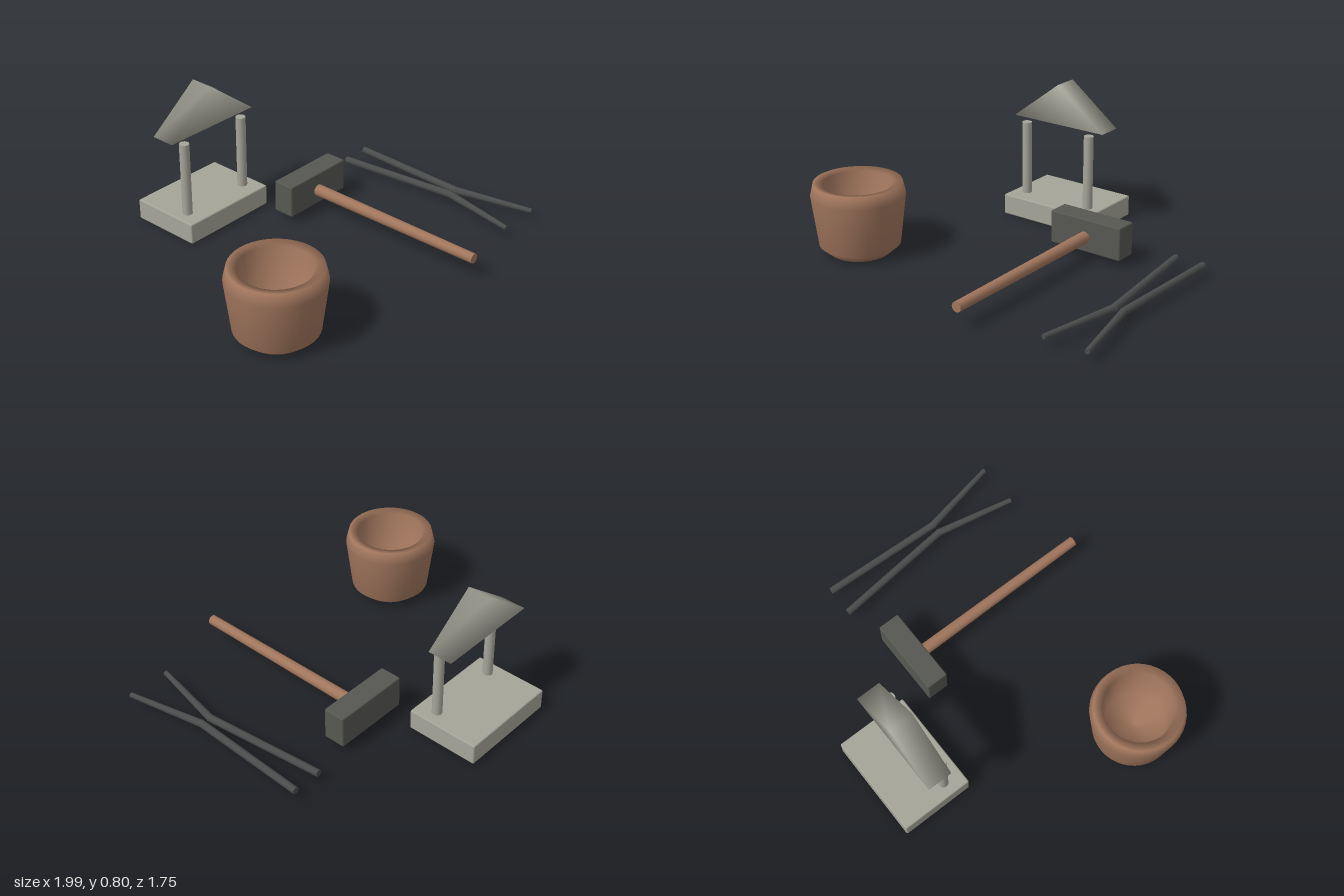
import * as THREE from 'three';
import { RoundedBoxGeometry } from 'three/addons/geometries/RoundedBoxGeometry.js';

const material = (name, color, side = THREE.FrontSide) => {
  const m = new THREE.MeshStandardMaterial({ color, side });
  m.name = name;
  return m;
};

export function createModel() {
  const model = new THREE.Group();
  const wood = material('wood', 0xa0755c);
  const stone = material('stone', 0xa5a599);
  const iron = material('iron', 0x565852);
  const darkIron = material('dark iron', 0x494c4b);

  const add = (name, geometry, mat, x = 0, y = 0, z = 0) => {
    const mesh = new THREE.Mesh(geometry, mat);
    mesh.name = name;
    mesh.position.set(x, y, z);
    model.add(mesh);
    return mesh;
  };

  // Tapered round bar between two points
  const bar = (name, a, b, ra, rb, mat, sides = 16) => {
    const start = new THREE.Vector3(...a), end = new THREE.Vector3(...b);
    const dir = end.clone().sub(start);
    const mesh = add(name, new THREE.CylinderGeometry(rb, ra, dir.length(), sides), mat);
    mesh.position.copy(start).add(end).multiplyScalar(0.5);
    mesh.quaternion.setFromUnitVectors(new THREE.Vector3(0, 1, 0), dir.normalize());
    return mesh;
  };

  // Quenching bucket: outer wall, rim and hollow in one profile
  const profile = [[0, 0], [0.165, 0], [0.222, 0.05], [0.257, 0.33], [0.24, 0.4],
    [0.19, 0.39], [0.165, 0.12], [0, 0.09]].map(([r, y]) => new THREE.Vector2(r, y));
  add('bucket', new THREE.LatheGeometry(profile, 40), wood, -0.743, 0, 0.445);

  // Forge: hearth slab, two posts and a gabled hood
  add('hearth', new RoundedBoxGeometry(0.59, 0.12, 0.42, 1, 0.008), stone, -0.155, 0.06, -0.665);
  for (const x of [-0.37, 0.057]) {
    bar('hoodPost', [x, 0.11, -0.567], [x, 0.547, -0.567], 0.028, 0.028, stone);
  }

  // Hood: prism with shared corners for soft shading
  const hood = new THREE.BufferGeometry();
  const corners = [0.07, -0.07].flatMap(z => [-0.302, 0, z, 0.302, 0, z, 0, 0.232, z]);
  hood.setAttribute('position', new THREE.Float32BufferAttribute(corners, 3));
  hood.setIndex([0, 1, 2, 3, 5, 4, 0, 3, 4, 0, 4, 1, 1, 4, 5, 1, 5, 2, 2, 5, 3, 2, 3, 0]);
  hood.computeVertexNormals();
  add('hood', hood, stone, -0.155, 0.572, -0.637);

  // Hammer
  add('hammerHead', new RoundedBoxGeometry(0.445, 0.187, 0.127, 1, 0.008), iron, 0.292, 0.132, -0.263);
  bar('hammerHandle', [0.291, 0.122, -0.25], [0.292, 0.122, 0.87], 0.034, 0.028, wood);

  // Tongs: two bent arms, jaws at the back and tapered grips at the front
  const y = 0.063;
  for (const [jaw, bend, grip] of [[0.752, 0.828, 0.735], [0.915, 0.886, 0.98]]) {
    bar('tongJaw', [jaw, y, -0.38], [bend, y, 0.33], 0.02, 0.021, darkIron, 12);
    bar('tongGrip', [bend, y, 0.32], [grip, y, 0.772], 0.021, 0.014, darkIron, 12);
  }

  return model;
}
